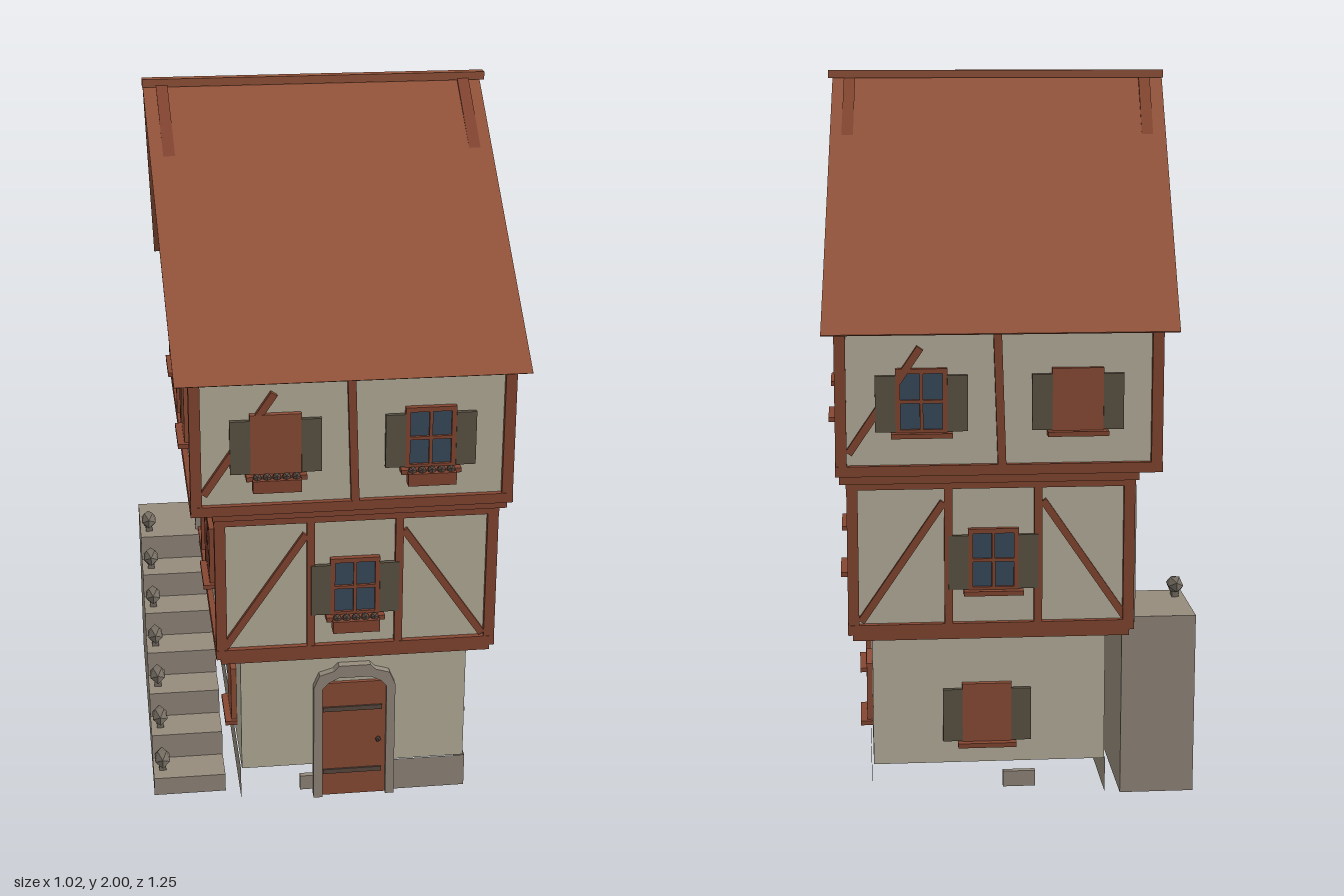
import * as THREE from 'three';

const mat = (name, color, side = THREE.FrontSide) => {
  const m = new THREE.MeshStandardMaterial({ color, side });
  m.name = name;
  return m;
};
const M = {
  plaster: mat('plaster', 0xbab39f, THREE.DoubleSide),
  roof: mat('roof tile', 0x96553c),
  timber: mat('timber', 0x864732),
  panel: mat('painted wood', 0x8e4e38),
  stone: mat('stone', 0x958b7d, THREE.DoubleSide),
  rock: mat('dark stone', 0x756d62),
  shutter: mat('shutter wood', 0x5e5646),
  glass: mat('glass', 0x3a4d60),
  iron: mat('iron', 0x5c4a40),
};

function add(parent, name, geo, material, x = 0, y = 0, z = 0) {
  const m = new THREE.Mesh(geo, material);
  m.name = name;
  m.position.set(x, y, z);
  parent.add(m);
  return m;
}
const box = (p, name, m, w, h, d, x, y, z) => add(p, name, new THREE.BoxGeometry(w, h, d), m, x, y, z);
// box given by its limits
const span = (p, name, m, x0, x1, y0, y1, z0, z1) =>
  box(p, name, m, x1 - x0, y1 - y0, z1 - z0, (x0 + x1) / 2, (y0 + y1) / 2, (z0 + z1) / 2);

// The attic and roof lean towards -x as they rise
const EAVE = 1.34, lean = y => -0.037 * Math.max(0, y - EAVE) / 0.65;

// Timber between two points of a wall face; dir is the lean direction along the outward axis
function bar(face, u0, v0, u1, v1, w, width = 0.026, depth = 0.03, dir = 0) {
  const g = new THREE.BoxGeometry(width, Math.hypot(u1 - u0, v1 - v0), depth);
  g.rotateZ(-Math.atan2(u1 - u0, v1 - v0));
  g.translate((u0 + u1) / 2, (v0 + v1) / 2, w);
  if (dir) {
    const p = g.attributes.position;
    for (let i = 0; i < p.count; i++) p.setZ(i, p.getZ(i) + dir * lean(p.getY(i)));
    g.computeVertexNormals();
  }
  return add(face, 'timberBeam', g, M.timber);
}

// Four beams around a wall panel
function frame(face, w, u0, u1, v0, v1) {
  for (const u of [u0, u1]) bar(face, u, v0, u, v1, w, 0.03);
  for (const v of [v0, v1]) bar(face, u0 - 0.014, v, u1 + 0.014, v, w, 0.028, 0.032);
}

// Window with glass or closed boards, optional side shutters and flower box
function windowUnit(face, u, v, w, { glass = false, shutters = false, flowers = false } = {}) {
  const g = new THREE.Group();
  g.name = 'window';
  g.position.set(u, v, w);
  face.add(g);
  if (glass) {
    box(g, 'windowGlass', M.glass, 0.125, 0.165, 0.008, 0, 0, 0.004);
    for (const s of [-1, 0, 1]) {
      const t = s ? 0.013 : 0.009;
      box(g, 'windowBar', M.timber, t, 0.175, 0.02, s * 0.062, 0, 0.006);
      box(g, 'windowBar', M.timber, 0.135, t, 0.02, 0, s * 0.081, 0.006);
    }
  } else box(g, 'closedBoards', M.panel, 0.137, 0.17, 0.02, 0, 0, 0.006);
  box(g, 'windowSill', M.timber, 0.162, 0.013, 0.045, 0, -0.089, 0.012);
  if (shutters) for (const s of [-1, 1]) box(g, 'shutter', M.shutter, 0.054, 0.15, 0.012, s * 0.095, -0.005, 0.012);
  if (flowers) {
    box(g, 'flowerBox', M.timber, 0.13, 0.035, 0.035, 0, -0.105, 0.035);
    for (let i = -2; i <= 2; i++)
      add(g, 'plant', new THREE.IcosahedronGeometry(0.013, 0), M.iron, i * 0.026, -0.084, 0.035);
  }
}

// Plank door with a chamfered stone surround
function door(face, u, v, w) {
  const g = new THREE.Group();
  g.name = 'door';
  g.position.set(u, v, w);
  face.add(g);
  box(g, 'doorLeaf', M.panel, 0.187, 0.368, 0.012, 0, 0.184, 0.004);
  for (const y of [0.08, 0.285]) box(g, 'doorBand', M.iron, 0.17, 0.014, 0.006, -0.004, y, 0.012);
  add(g, 'doorKnob', new THREE.IcosahedronGeometry(0.009, 0), M.iron, 0.07, 0.18, 0.016);
  const half = [[0.117, 0], [0.117, 0.36], [0.1, 0.4], [0.06, 0.412], [0.045, 0.428]];
  const hole = [[0.092, 0], [0.092, 0.355], [0.075, 0.375], [0.045, 0.39]];
  const flip = a => a.map(([x, y]) => [-x, y]);
  const pts = [...half, ...flip(half).reverse(), ...flip(hole), ...hole.slice().reverse()];
  const s = new THREE.Shape(pts.map(p => new THREE.Vector2(...p)));
  add(g, 'doorSurround', new THREE.ExtrudeGeometry(s, { depth: 0.03, bevelEnabled: false }), M.stone, 0, 0, -0.008);
}

// Section in (z, y) swept along x and leaned
function leaning(parent, name, m, section, x0, x1) {
  const s = new THREE.Shape(section.map(([z, y]) => new THREE.Vector2(-z, y)));
  const g = new THREE.ExtrudeGeometry(s, { depth: x1 - x0, bevelEnabled: false });
  g.rotateY(Math.PI / 2).translate(x0, 0, 0);
  const p = g.attributes.position;
  for (let i = 0; i < p.count; i++) p.setX(i, p.getX(i) + lean(p.getY(i)));
  g.computeVertexNormals();
  return add(parent, name, g, m);
}

export function createModel() {
  const house = new THREE.Group();
  house.name = 'timberHouse';
  // Wall faces: local x runs right as seen from outside, local z points out
  const [front, right, back, left] = ['front', 'right', 'back', 'left'].map((n, i) => {
    const f = new THREE.Group();
    f.name = n + 'Face';
    f.rotation.y = i * Math.PI / 2;
    house.add(f);
    return f;
  });
  const sheet = (face, name, m, u0, u1, v0, v1, w) =>
    add(face, name, new THREE.PlaneGeometry(u1 - u0, v1 - v0), m, (u0 + u1) / 2, (v0 + v1) / 2, w);

  // Ground floor, open below
  sheet(front, 'groundWall', M.plaster, -0.26, 0.385, 0.1, 0.48, 0.485);
  sheet(right, 'groundWall', M.plaster, -0.485, 0.47, 0.1, 0.48, 0.385);
  sheet(back, 'groundWall', M.plaster, -0.385, 0.26, 0.1, 0.48, 0.47);
  sheet(left, 'groundWall', M.plaster, -0.47, 0.485, 0.1, 0.48, 0.26);
  sheet(front, 'plinth', M.stone, 0.17, 0.39, 0, 0.1, 0.488);
  sheet(right, 'plinth', M.stone, -0.488, 0.472, 0, 0.1, 0.39);
  sheet(left, 'plinth', M.stone, -0.472, 0.488, 0, 0.1, 0.263);
  box(right, 'plinthStone', M.stone, 0.09, 0.045, 0.016, -0.305, 0.052, 0.39);
  box(back, 'plinthStone', M.stone, 0.09, 0.045, 0.016, 0.02, 0.05, 0.472);
  box(front, 'plinthStone', M.stone, 0.045, 0.045, 0.016, -0.07, 0.045, 0.487);
  door(front, 0.0625, 0, 0.486);
  for (const u of [-0.25, 0.22]) windowUnit(right, u, 0.248, 0.385);
  windowUnit(back, -0.07, 0.248, 0.47, { shutters: true });
  windowUnit(left, 0.25, 0.248, 0.26);

  // Middle floor
  span(house, 'middleSlab', M.timber, -0.318, 0.438, 0.478, 0.505, -0.53, 0.548);
  span(house, 'middleWalls', M.plaster, -0.315, 0.435, 0.5, 0.93, -0.515, 0.535);
  frame(front, 0.535, -0.315, 0.435, 0.508, 0.912);
  frame(right, 0.435, -0.535, 0.515, 0.508, 0.912);
  frame(back, 0.515, -0.435, 0.315, 0.508, 0.912);
  frame(left, 0.315, -0.515, 0.535, 0.508, 0.912);
  for (const [f, w, c] of [[front, 0.535, 0.055], [back, 0.515, -0.055]]) {
    for (const s of [-1, 1]) {
      bar(f, c + s * 0.122, 0.52, c + s * 0.122, 0.9, w, 0.022);
      bar(f, c + s * 0.36, 0.53, c + s * 0.135, 0.86, w, 0.02, 0.024);
    }
    windowUnit(f, c, 0.698, w, { glass: true, shutters: true, flowers: f === front });
  }
  for (const u of [-0.11, 0.095]) {
    bar(right, u, 0.52, u, 0.9, 0.435, 0.024);
    bar(left, u, 0.52, u, 0.9, 0.315, 0.024);
  }
  bar(right, -0.52, 0.54, -0.33, 0.86, 0.435, 0.02, 0.024);
  windowUnit(right, -0.275, 0.698, 0.435, { glass: true });
  windowUnit(right, 0.25, 0.698, 0.435);
  windowUnit(left, 0.25, 0.698, 0.315, { glass: true });
  door(left, -0.385, 0.505, 0.316);

  // Upper floor
  span(house, 'upperSlab', M.timber, -0.335, 0.468, 0.922, 0.95, -0.567, 0.567);
  span(house, 'upperWalls', M.plaster, -0.378, 0.462, 0.945, 1.34, -0.575, 0.575);
  frame(front, 0.575, -0.378, 0.462, 0.962, EAVE);
  frame(right, 0.462, -0.575, 0.575, 0.962, EAVE);
  frame(back, 0.575, -0.462, 0.378, 0.962, EAVE);
  frame(left, 0.378, -0.575, 0.575, 0.962, EAVE);
  for (const [f, c] of [[front, 0.042], [back, -0.042]]) {
    bar(f, c + 0.006, 0.97, c - 0.006, 1.33, 0.575, 0.022);
    bar(f, c - 0.4, 1.01, c - 0.21, 1.29, 0.575, 0.02, 0.03);
    const isFront = f === front;
    windowUnit(f, c - 0.207, 1.148, 0.575, { glass: !isFront, shutters: true, flowers: isFront });
    windowUnit(f, c + 0.207, 1.148, 0.575, { glass: isFront, shutters: true, flowers: isFront });
  }
  for (const [f, w] of [[right, 0.462], [left, 0.378]]) {
    for (const u of [-0.12, 0.11]) bar(f, u, 0.97, u, 1.33, w, 0.024);
    bar(f, -0.565, 1.015, -0.35, 1.29, w, 0.02, 0.024);
    windowUnit(f, -0.29, 1.148, w, { glass: f === left });
    windowUnit(f, 0.28, 1.148, w, { glass: f === right });
  }

  // Attic gables with rafters and studs
  leaning(house, 'attic', M.plaster, [[0.57, EAVE], [-0.57, EAVE], [-0.015, 1.96]], -0.378, 0.462);
  for (const [f, w, d] of [[right, 0.462, 1], [left, 0.378, -1]]) {
    const top = d * 0.015;
    for (const s of [-1, 1]) {
      bar(f, s * 0.572, EAVE, top, 1.978, w, 0.024, 0.032, d);
      bar(f, s * 0.288, EAVE, s * 0.286, 1.65, w, 0.018, 0.024, d);
    }
    bar(f, 0, EAVE, top, 1.96, w, 0.02, 0.026, d);
  }

  // Thin roof sheets and ridge cap
  leaning(house, 'roof', M.roof,
    [[0.625, 1.332], [0.617, 1.328], [-0.015, 1.972], [-0.617, 1.328], [-0.625, 1.332], [-0.015, 1.985]], -0.43, 0.51);
  span(house, 'ridgeCap', M.roof, -0.468, 0.486, 1.978, 2, -0.033, -0.003);

  // Outside stair with edge stones and landing
  const stair = new THREE.Group();
  stair.name = 'stair';
  house.add(stair);
  for (let i = 0; i < 7; i++) {
    const z1 = 0.44 - i * 0.111, top = 0.055 + i * 0.0765;
    const z0 = i === 6 ? -0.48 : z1 - 0.111;
    span(stair, i === 6 ? 'landing' : 'step', M.stone, -0.512, -0.305, 0, top, z0, z1);
    const g = new THREE.IcosahedronGeometry(1, 0).scale(0.025, 0.025, 0.045);
    add(stair, 'edgeStone', g, M.rock, -0.485, top + 0.034, z1 - 0.057);
    box(stair, 'edgeStoneFoot', M.rock, 0.02, 0.025, 0.03, -0.485, top + 0.008, z1 - 0.057);
  }
  return house;
}
